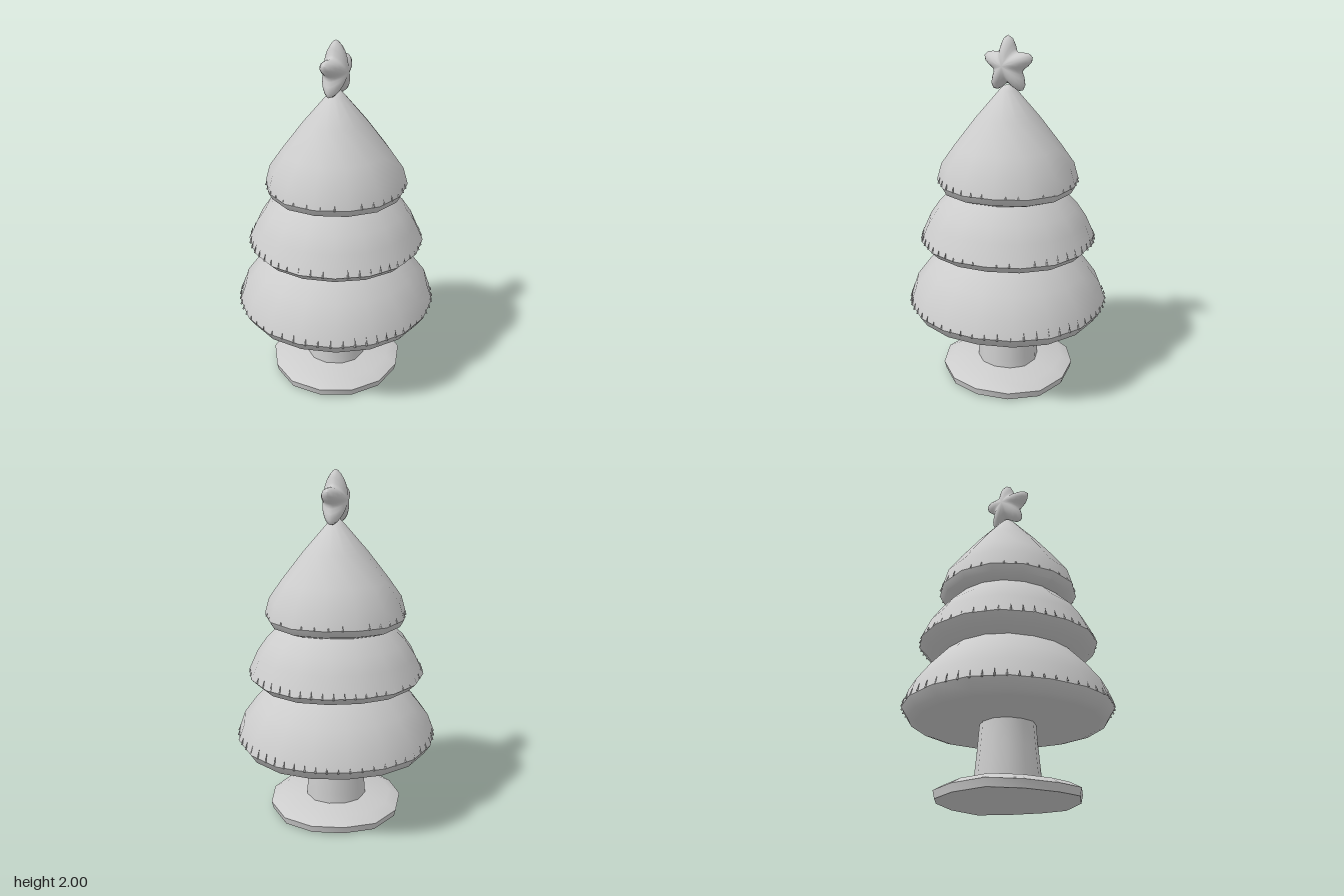
import * as THREE from 'three';
import { mergeGeometries, toCreasedNormals } from 'three/addons/utils/BufferGeometryUtils.js';

const clay = new THREE.MeshStandardMaterial({ color: 0xcccccc });
clay.name = 'paleGrey';

// Turned solid from [radius, height] pairs, with a slight hand-made wobble
function turned(name, profile, sides, wobble, phase) {
  const geo = new THREE.LatheGeometry(profile.map(([r, y]) => new THREE.Vector2(r, y)), sides, phase);
  const p = geo.attributes.position;
  for (let i = 0; i < p.count; i++) {
    const x = p.getX(i), z = p.getZ(i), a = Math.atan2(x, z);
    const s = 1 + wobble * Math.sin(3 * a + phase * 5);
    const lift = wobble * Math.hypot(x, z) * Math.sin(4 * a + phase);
    p.setXYZ(i, x * s, Math.max(0, p.getY(i) + lift), z * s);
  }
  const mesh = new THREE.Mesh(toCreasedNormals(geo, 0.75), clay);
  mesh.name = name;
  return mesh;
}

// Ring of tiny needles standing along a rim
function needles(name, radius, y, count, height) {
  const parts = [];
  for (let i = 0; i < count; i++) {
    const vary = Math.sin(i * 12.9) * 0.5 + 0.5;
    const h = height * (0.5 + 0.6 * vary);
    const needle = new THREE.ConeGeometry(0.006, h, 4);
    needle.rotateX(-0.25);
    needle.translate(0, y + h * 0.35, radius - 0.002);
    needle.rotateY((i + 0.5 * vary) / count * Math.PI * 2);
    parts.push(needle);
  }
  const mesh = new THREE.Mesh(mergeGeometries(parts), clay);
  mesh.name = name;
  return mesh;
}

// Puffy five-pointed star, its flat sides facing left and right
function star() {
  const geo = new THREE.SphereGeometry(1, 40, 12);
  const p = geo.attributes.position;
  for (let i = 0; i < p.count; i++) {
    const x = p.getX(i), h = p.getY(i), z = p.getZ(i);
    const a = Math.atan2(z, x);
    const r = 0.093 + 0.066 * Math.pow((1 + Math.cos(5 * a)) / 2, 1.2);
    p.setXYZ(i, Math.sign(h) * 0.07 * Math.pow(Math.abs(h), 1.3), x * r, z * r);
  }
  // the axis swap (x,y,z) -> (y,x,z) mirrors the surface, so turn the faces round
  const idx = geo.index;
  for (let i = 0; i < idx.count; i += 3) {
    const b = idx.getX(i + 1);
    idx.setX(i + 1, idx.getX(i + 2));
    idx.setX(i + 2, b);
  }
  const mesh = new THREE.Mesh(toCreasedNormals(geo, 1.2), clay);
  mesh.name = 'star';
  mesh.position.y = 1.842;
  return mesh;
}

export function createModel() {
  const tree = new THREE.Group();
  tree.name = 'tree';

  // Stand and trunk
  tree.add(turned('base', [[0, 0.005], [0.385, 0.008], [0.395, 0.05], [0.33, 0.085], [0, 0.088]], 13, 0.015, 0.2));
  tree.add(turned('trunk', [[0.182, 0.07], [0.178, 0.14], [0.165, 0.28], [0.152, 0.45]], 12, 0.01, 0.1));

  // Three overlapping skirts of foliage
  tree.add(turned('lowerFoliage', [[0, 0.42], [0.5, 0.42], [0.545, 0.435], [0.58, 0.49],
    [0.545, 0.59], [0.47, 0.69], [0.36, 0.81], [0.2, 0.9]], 18, 0.008, 0.09));
  tree.add(turned('middleFoliage', [[0, 0.79], [0.34, 0.795], [0.46, 0.825], [0.505, 0.87],
    [0.455, 0.98], [0.4, 1.06], [0.3, 1.16], [0.15, 1.25]], 17, 0.008, 0.05));
  tree.add(turned('upperFoliage', [[0, 1.14], [0.33, 1.145], [0.38, 1.165], [0.402, 1.205],
    [0.375, 1.3], [0.3, 1.405], [0.18, 1.56], [0.05, 1.71], [0.025, 1.735], [0, 1.74]], 14, 0.008, 0.15));

  // Needle fringes along the rims
  tree.add(needles('lowerNeedles', 0.575, 0.495, 56, 0.05));
  tree.add(needles('middleNeedles', 0.497, 0.875, 50, 0.045));
  tree.add(needles('upperNeedles', 0.394, 1.21, 36, 0.035));

  tree.add(star());
  return tree;
}
